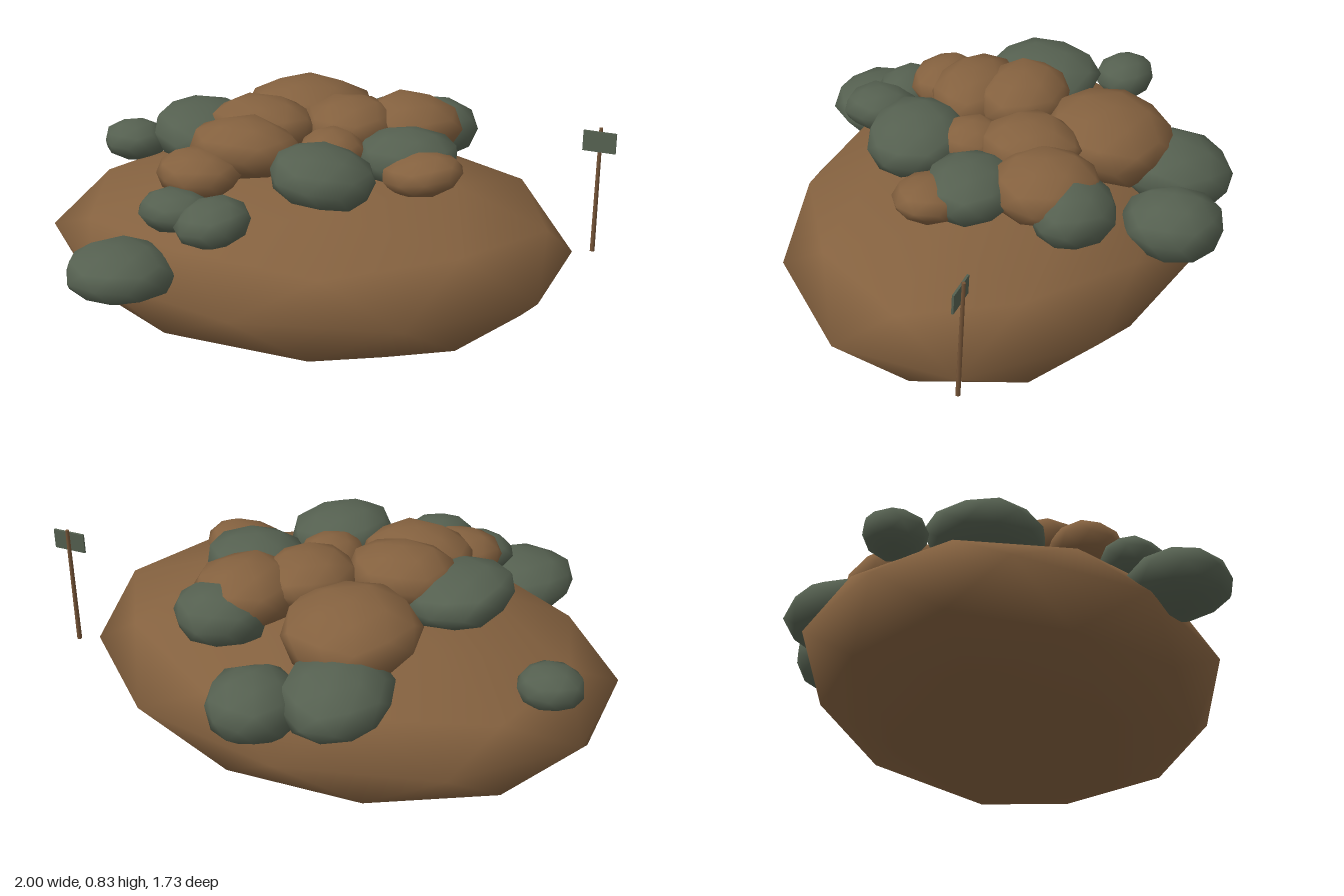
import * as THREE from 'three';
import { mergeVertices } from 'three/addons/utils/BufferGeometryUtils.js';

const mat = (name, color) => Object.assign(new THREE.MeshStandardMaterial({ color }), { name });

function seeded(seed) {
  let s = seed * 7919 + 17;
  return () => ((s = (s * 16807) % 2147483647) / 2147483647);
}

// Welded 42-point sphere with one vertex at the top
function icosphere() {
  const geo = new THREE.IcosahedronGeometry(1, 1);
  geo.deleteAttribute('normal');
  geo.deleteAttribute('uv');
  geo.rotateZ(-Math.atan(2 / (1 + Math.sqrt(5))));
  return mergeVertices(geo, 1e-3);
}

// Moves every vertex by a rule, then smooths the normals
function reshape(geo, rule) {
  const p = geo.attributes.position;
  for (let i = 0; i < p.count; i++) p.setXYZ(i, ...rule(p.getX(i), p.getY(i), p.getZ(i)));
  geo.computeVertexNormals();
  return geo;
}

// Flattened boulder with an irregular wobble: centre, radii, tilt about x and z
function boulder(name, material, seed, [x, y, z, rx, ry, rz, tiltX = 0, tiltZ = 0]) {
  const rand = seeded(seed);
  const geo = icosphere().rotateY(rand() * 6.28);
  reshape(geo, (px, py, pz) => {
    const k = 0.96 + rand() * 0.11;
    return [px * k * rx, py * k * ry, pz * k * rz];
  });
  const mesh = new THREE.Mesh(geo, material);
  mesh.name = name;
  mesh.position.set(x, y, z);
  mesh.rotation.set(tiltX, 0, tiltZ);
  return mesh;
}

// Height of the mound: flat underside lifting towards -x and +z, crown rising towards +x
function moundHeight(x, y, z) {
  if (y < -0.8) return 0.008 + 0.25 * Math.max(0, -x - 0.3) + 0.2 * Math.max(0, z - 0.35);
  return 0.32 + 0.33 * y + (y > 0.1 ? 0.03 * x : 0);
}

export function createModel() {
  const group = new THREE.Group();
  const earth = mat('earth brown', 0x84613f);
  const stone = mat('mossy stone', 0x556050);
  const wood = mat('post wood', 0x755437);

  // Mound: squashed sphere
  const moundGeo = reshape(icosphere(), (x, y, z) => [
    -0.063 + 0.985 * x + 0.04 * y,
    moundHeight(x, y, z),
    0.745 * z,
  ]);
  const mound = new THREE.Mesh(moundGeo, earth);
  mound.name = 'mound';
  group.add(mound);

  // Mossy boulders
  [
    [-0.25, 0.57, -0.61, 0.19, 0.115, 0.21, -0.12],
    [0.02, 0.52, -0.69, 0.17, 0.12, 0.18],
    [0.275, 0.66, -0.41, 0.17, 0.11, 0.15],
    [0.30, 0.68, -0.04, 0.185, 0.10, 0.165],
    [0.09, 0.69, 0.26, 0.19, 0.105, 0.18, 0, -0.15],
    [-0.46, 0.69, 0, 0.20, 0.10, 0.22, 0, -0.15],
    [-0.87, 0.52, -0.20, 0.12, 0.08, 0.11],
    [-0.495, 0.405, 0.68, 0.19, 0.10, 0.185],
    [-0.36, 0.585, 0.50, 0.13, 0.075, 0.11],
    [-0.20, 0.58, 0.54, 0.13, 0.085, 0.14, 0, 0.1],
  ].forEach((b, i) => group.add(boulder('mossyBoulder' + (i + 1), stone, i + 1, b)));

  // Earth boulders heaped on the summit
  [
    [-0.20, 0.675, -0.37, 0.24, 0.13, 0.235, -0.12],
    [-0.25, 0.735, -0.02, 0.20, 0.105, 0.165],
    [-0.24, 0.715, 0.17, 0.20, 0.105, 0.155],
    [-0.35, 0.66, 0.33, 0.15, 0.085, 0.135],
    [0.225, 0.70, -0.29, 0.185, 0.115, 0.195],
    [0.04, 0.73, -0.16, 0.165, 0.095, 0.185],
    [0.05, 0.70, 0.06, 0.12, 0.08, 0.13],
    [0.395, 0.67, 0.07, 0.145, 0.075, 0.13, 0, 0.15],
  ].forEach((b, i) => group.add(boulder('earthBoulder' + (i + 1), earth, i + 31, b)));

  // Signpost beside the mound, leaning slightly back
  const sign = new THREE.Group();
  sign.name = 'signpost';
  const post = new THREE.Mesh(new THREE.CylinderGeometry(0.007, 0.009, 0.47, 6), wood);
  post.name = 'post';
  post.position.y = 0.235;
  const board = new THREE.Mesh(new THREE.BoxGeometry(0.12, 0.075, 0.008), stone);
  board.name = 'signBoard';
  board.position.set(0, 0.42, 0.01);
  sign.add(post, board);
  sign.position.set(0.94, 0.32, -0.265);
  sign.rotation.x = -0.055;
  group.add(sign);

  return group;
}
